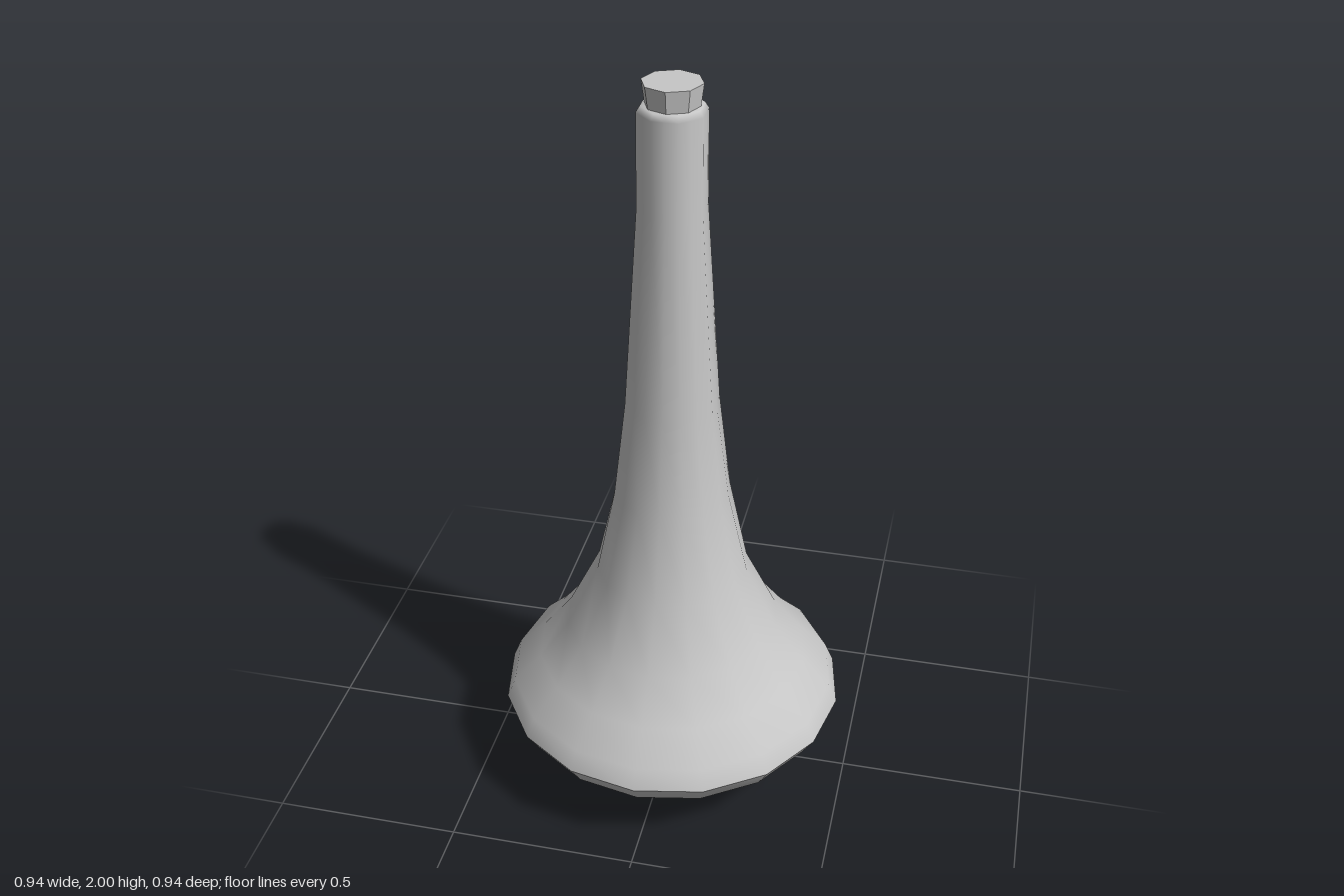
import * as THREE from 'three';

const grey = new THREE.MeshStandardMaterial({ color: 0xc6c6c6 });
grey.name = 'light grey';

// Smooth sixteen-sided turned surface; the slender neck eases into an octagon
function turned(name, profile) {
  const geometry = new THREE.LatheGeometry(profile.map(([r, y]) => new THREE.Vector2(r, y)), 16);
  const p = geometry.attributes.position;
  for (let i = 0; i < p.count; i++) {
    const side = Math.floor(i / profile.length);
    if (side % 2 === 0) continue;
    const swell = 1 + 0.07 * THREE.MathUtils.smoothstep(p.getY(i), 0.6, 1.2);
    p.setX(i, p.getX(i) * swell);
    p.setZ(i, p.getZ(i) * swell);
  }
  const mesh = new THREE.Mesh(geometry, grey);
  mesh.name = name;
  return mesh;
}

export function createModel() {
  const group = new THREE.Group();
  group.name = 'bottle';

  // Shallow rounded underside, meeting the body at a sharp rim
  group.add(turned('underside', [
    [0, 0], [0.075, 0.005], [0.35, 0.115], [0.43, 0.17], [0.468, 0.23],
  ]));

  // Flared body rising into a long neck with a rolled lip
  group.add(turned('bodyAndNeck', [
    [0.468, 0.23], [0.445, 0.285], [0.37, 0.36], [0.29, 0.465], [0.205, 0.64],
    [0.15, 0.88], [0.115, 1.15], [0.082, 1.69], [0.081, 1.93], [0.072, 1.945], [0.05, 1.945],
  ]));

  // Faceted octagonal stopper, wider at its top
  const stopperShape = new THREE.CylinderGeometry(0.075, 0.064, 0.08, 8).toNonIndexed();
  stopperShape.computeVertexNormals();
  const stopper = new THREE.Mesh(stopperShape, grey);
  stopper.name = 'stopper';
  stopper.position.y = 1.96;
  group.add(stopper);

  return group;
}
